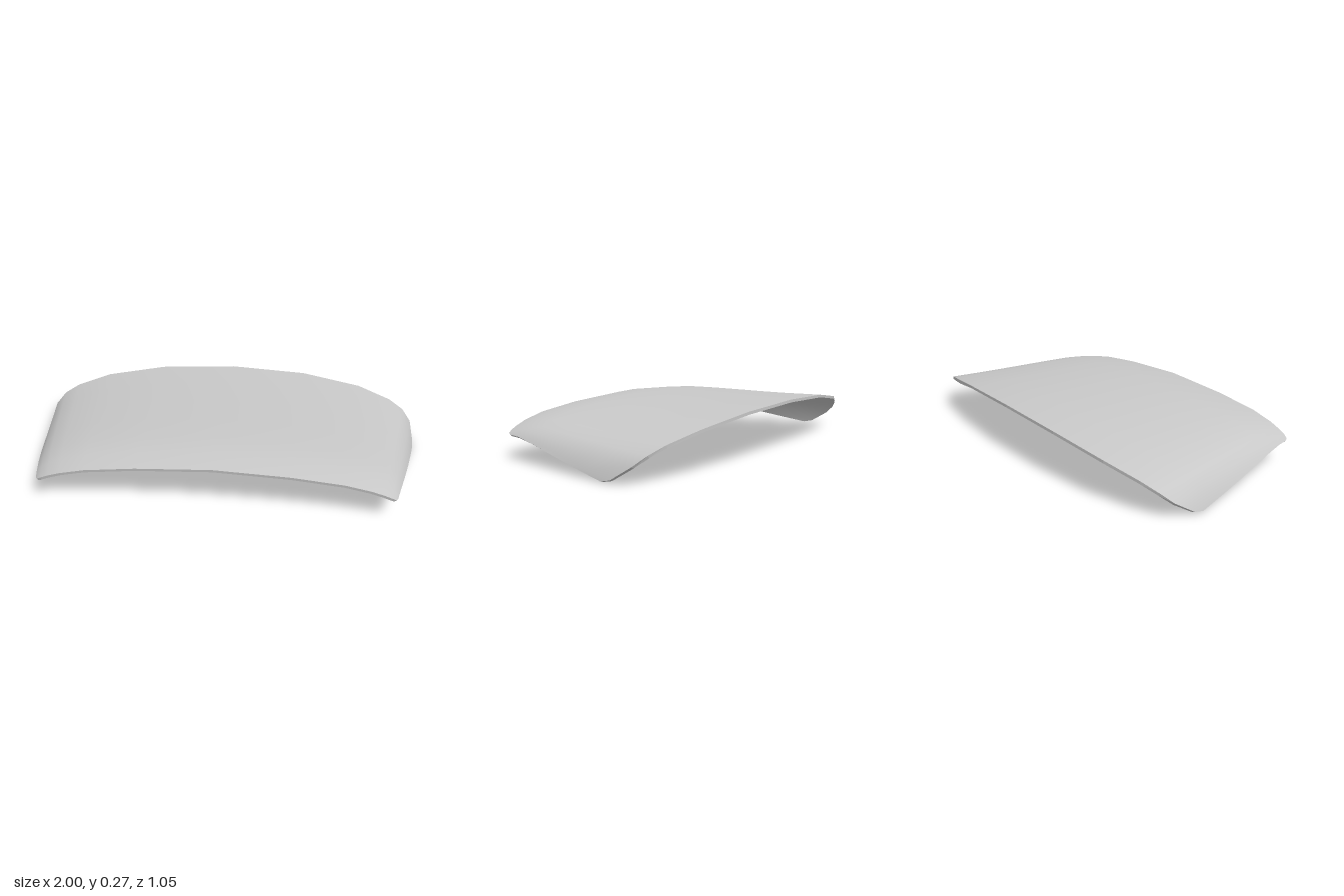
import * as THREE from 'three';

// Half-width section points [x, y, z] from the centre line to the side edge
const FRONT = [
  [0, 0.236, 0.523], [0.36, 0.219, 0.523], [0.6, 0.194, 0.523], [0.72, 0.168, 0.521],
  [0.78, 0.148, 0.518], [0.815, 0.133, 0.515], [0.835, 0.122, 0.51], [0.845, 0.116, 0.495],
];
const BACK = [
  [0, 0.257, -0.525], [0.4, 0.242, -0.508], [0.71, 0.202, -0.46], [0.88, 0.157, -0.4],
  [0.95, 0.122, -0.36], [0.99, 0.078, -0.31], [1.0, 0.016, -0.21], [0.996, 0.005, -0.16],
];
// Rows from front to back: [position, upward bulge]
const ROWS = [[0, 0], [0.1, 0.019], [0.23, 0.025], [0.4, 0.019], [0.6, 0.011], [0.8, 0.004], [1, 0]];
const HALF = FRONT.length - 1;
const COLS = HALF * 2 + 1;
const THICKNESS = 0.014;

function outerPoint(col, row) {
  const side = col - HALF;
  const j = Math.abs(side);
  const [t, bulge] = ROWS[row];
  const p = new THREE.Vector3(...FRONT[j]).lerp(new THREE.Vector3(...BACK[j]), t);
  const edge = j / HALF;
  p.y += bulge * (1 - 0.5 * edge * edge);
  p.x += edge * 0.006 * Math.sin(Math.PI * t);
  if (side < 0) p.x = -p.x;
  return p;
}

function surface(points, flip) {
  const index = [];
  for (let r = 0; r < ROWS.length - 1; r++) {
    for (let c = 0; c < COLS - 1; c++) {
      const a = r * COLS + c, b = a + 1, d = a + COLS, e = d + 1;
      if (flip) index.push(a, d, b, b, d, e);
      else index.push(a, b, d, b, e, d);
    }
  }
  const g = new THREE.BufferGeometry().setFromPoints(points);
  g.setIndex(index);
  g.computeVertexNormals();
  return g;
}

export function createModel() {
  const grey = new THREE.MeshStandardMaterial({ color: 0xc8c8c8 });
  grey.name = 'light grey';
  const group = new THREE.Group();
  group.name = 'curvedPanel';
  const add = (name, geometry) => {
    const mesh = new THREE.Mesh(geometry, grey);
    mesh.name = name;
    group.add(mesh);
  };

  // Outer skin
  const outer = [];
  for (let r = 0; r < ROWS.length; r++) {
    for (let c = 0; c < COLS; c++) outer.push(outerPoint(c, r));
  }
  const outerGeometry = surface(outer, false);
  add('outerSkin', outerGeometry);

  // Inner skin, offset along the outer normals
  const normals = outerGeometry.attributes.normal;
  const inner = outer.map((p, i) =>
    p.clone().addScaledVector(new THREE.Vector3().fromBufferAttribute(normals, i), -THICKNESS));
  inner.forEach((p) => { p.y = Math.max(p.y, 0); });
  add('innerSkin', surface(inner, true));

  // Rim closing the two skins all the way round
  const loop = [];
  const last = ROWS.length - 1;
  for (let c = 0; c < COLS - 1; c++) loop.push(c);
  for (let r = 0; r < last; r++) loop.push(r * COLS + COLS - 1);
  for (let c = COLS - 1; c > 0; c--) loop.push(last * COLS + c);
  for (let r = last; r > 0; r--) loop.push(r * COLS);
  const rim = [];
  loop.forEach((p, i) => {
    const q = loop[(i + 1) % loop.length];
    rim.push(inner[p], inner[q], outer[q], inner[p], outer[q], outer[p]);
  });
  const rimGeometry = new THREE.BufferGeometry().setFromPoints(rim);
  rimGeometry.computeVertexNormals();
  add('rim', rimGeometry);

  return group;
}
